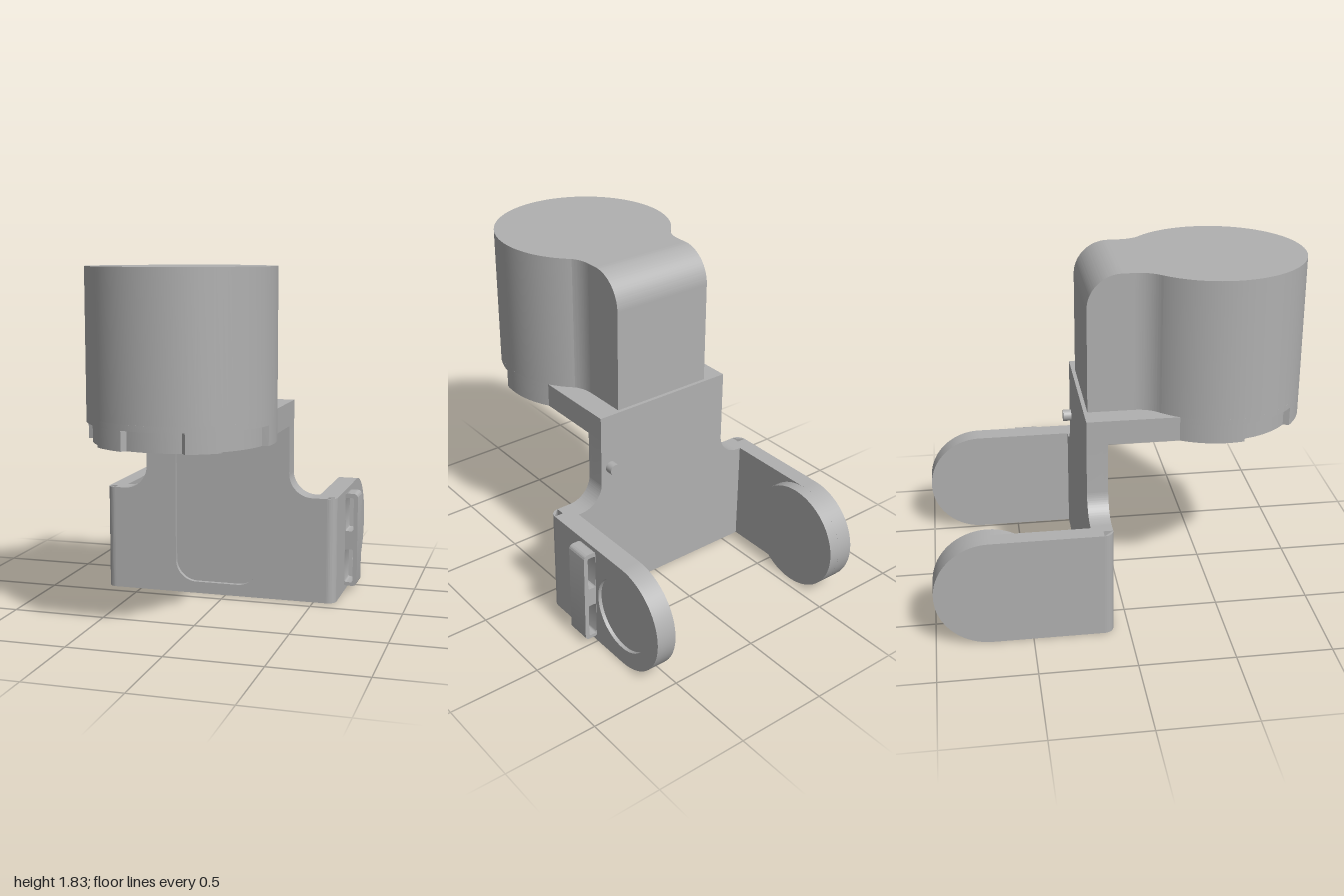
import * as THREE from 'three';
import { toCreasedNormals } from 'three/addons/utils/BufferGeometryUtils.js';

const PI = Math.PI;
const CX = -0.05, CZ = 0.525, R = 0.475, BORE = 0.36; // round housing

export function createModel() {
  const model = new THREE.Group();
  const grey = new THREE.MeshStandardMaterial({ color: 0xb0b0b0 });
  grey.name = 'plain grey';

  const add = (name, geometry, x = 0, y = 0, z = 0) => {
    const mesh = new THREE.Mesh(geometry, grey);
    mesh.name = name;
    mesh.position.set(x, y, z);
    model.add(mesh);
    return mesh;
  };
  const extrude = (shape, depth) => new THREE.ExtrudeGeometry(shape,
    { depth, bevelEnabled: false, curveSegments: 32 });
  const smooth = (g) => toCreasedNormals(g, 0.5);
  // shape drawn as (x, -z), extruded upwards
  const planPart = (name, shape, y0, y1) =>
    add(name, smooth(extrude(shape, y1 - y0).rotateX(-PI / 2)), 0, y0, 0);
  // shape drawn as (-z, y), extruded towards +x
  const sidePart = (name, shape, x0, x1) =>
    add(name, smooth(extrude(shape, x1 - x0).rotateY(PI / 2)), x0, 0, 0);
  // shape drawn as (x, y), extruded towards +z
  const frontPart = (name, shape, z0, z1) =>
    add(name, smooth(extrude(shape, z1 - z0)), 0, 0, z0);

  const roundRect = (path, x0, y0, x1, y1, r) => {
    path.moveTo(x0 + r, y0);
    path.lineTo(x1 - r, y0);
    path.absarc(x1 - r, y0 + r, r, -PI / 2, 0);
    path.lineTo(x1, y1 - r);
    path.absarc(x1 - r, y1 - r, r, 0, PI / 2);
    path.lineTo(x0 + r, y1);
    path.absarc(x0 + r, y1 - r, r, PI / 2, PI);
    path.lineTo(x0, y0 + r);
    path.absarc(x0 + r, y0 + r, r, PI, PI * 1.5);
    return path;
  };

  // Front plate with a narrower neck and filleted shoulders
  const plate = () => {
    const s = new THREE.Shape();
    s.moveTo(-0.65, 0);
    s.lineTo(0.57, 0);
    s.lineTo(0.57, 0.58);
    s.lineTo(0.49, 0.58);
    s.absarc(0.49, 0.71, 0.13, PI * 1.5, PI, true);
    s.lineTo(0.36, 1.05);
    s.lineTo(-0.46, 1.05);
    s.lineTo(-0.46, 0.71);
    s.absarc(-0.59, 0.71, 0.13, 0, -PI / 2, true);
    s.lineTo(-0.65, 0.58);
    return s;
  };
  frontPart('backPlate', plate(), -0.19, -0.105);
  const face = plate();
  face.holes.push(roundRect(new THREE.Path(), -0.29, 0.065, 0.19, 1.03, 0.12));
  frontPart('frontPlateWithPocket', face, -0.105, -0.08);

  // Rounded vertical corners between plate and arms
  for (const [name, x, side] of [['leftCorner', 0.57, 1], ['rightCorner', -0.65, -1]]) {
    const s = new THREE.Shape();
    s.moveTo(x, 0.13);
    if (side > 0) s.absarc(x, 0.13, 0.05, -PI / 2, 0);
    else s.absarc(x, 0.13, 0.05, PI, PI * 1.5);
    planPart(name, s, 0, 0.58);
  }

  // Round-ended arms
  const arm = () => {
    const s = new THREE.Shape();
    s.moveTo(0.13, 0);
    s.lineTo(0.71, 0);
    s.absarc(0.71, 0.29, 0.29, -PI / 2, PI / 2);
    s.lineTo(0.13, 0.58);
    return s;
  };
  sidePart('rightArm', arm(), -0.7, -0.61);
  sidePart('leftArm', arm(), 0.51, 0.6);
  const outer = arm();
  outer.holes.push(new THREE.Path().absarc(0.71, 0.295, 0.2, 0, PI * 2));
  sidePart('leftArmRecessedFace', outer, 0.6, 0.62);
  add('rightArmPad', new THREE.CylinderGeometry(0.29, 0.29, 0.06, 64).rotateZ(PI / 2), -0.58, 0.29, -0.71);

  // Side clip with two open slots
  const clip = roundRect(new THREE.Shape(), 0.61, 0.03, 0.69, 0.56, 0.025);
  for (const y of [0.05, 0.345])
    clip.holes.push(roundRect(new THREE.Path(), 0.621, y, 0.667, y + 0.19, 0.01));
  frontPart('sideClip', clip, -0.49, -0.36);

  // Small peg on the back
  add('backPeg', new THREE.CylinderGeometry(0.032, 0.032, 0.05, 24).rotateX(PI / 2), 0.3, 0.795, -0.21);

  // Shelf merging into the housing rim, with grip notches
  const shelf = (notched) => {
    const s = new THREE.Shape();
    s.moveTo(0.36, 0.19);
    s.lineTo(-0.46, 0.19);
    for (let d = -120; d <= 120; d += 1.5) {
      const off = Math.abs(d - 60 * Math.round(d / 60));
      const r = notched && Math.abs(d) < 90 && off < 19 ? R - 0.03 : R;
      const a = d * PI / 180;
      s.lineTo(CX + r * Math.sin(a), -CZ - r * Math.cos(a));
    }
    s.holes.push(new THREE.Path().absarc(CX, -CZ, BORE, 0, PI * 2));
    return s;
  };
  planPart('notchedRim', shelf(true), 0.97, 1.07);
  planPart('shelf', shelf(false), 1.07, 1.1);

  // Hollow round housing
  const profile = [[0, 1.75], [BORE, 1.75], [BORE, 1.1], [R, 1.1], [R, 1.83], [0, 1.83]];
  add('housing', smooth(new THREE.LatheGeometry(
    profile.map(([x, y]) => new THREE.Vector2(x, y)), 96)), CX, 0, CZ);

  // Locking tabs inside the opening
  for (let i = 0; i < 3; i++) {
    const a = i * PI * 2 / 3 + PI / 3;
    const tab = add('lockingTab', new THREE.BoxGeometry(0.09, 0.05, 0.06),
      CX + 0.345 * Math.sin(a), 1.01, CZ + 0.345 * Math.cos(a));
    tab.rotation.y = a;
  }

  // Rear tower with rounded top edge
  const tower = new THREE.Shape();
  tower.moveTo(-0.15, 1.09);
  tower.lineTo(0.17, 1.09);
  tower.lineTo(0.17, 1.65);
  tower.absarc(-0.01, 1.65, 0.18, 0, PI / 2);
  tower.lineTo(-0.15, 1.83);
  sidePart('rearTower', tower, -0.34, 0.235);

  // Flared blends between tower and housing
  for (const side of [1, -1]) {
    const X = (x) => -0.0525 + side * x;
    const s = new THREE.Shape();
    s.moveTo(X(0.25), -0.19);
    s.lineTo(X(0.25), -0.06);
    s.lineTo(X(0.2875), -0.06);
    s.quadraticCurveTo(X(0.285), -0.145, X(0.345), -0.2);
    planPart(side > 0 ? 'leftBlend' : 'rightBlend', s, 1.1, 1.83);
  }

  return model;
}
